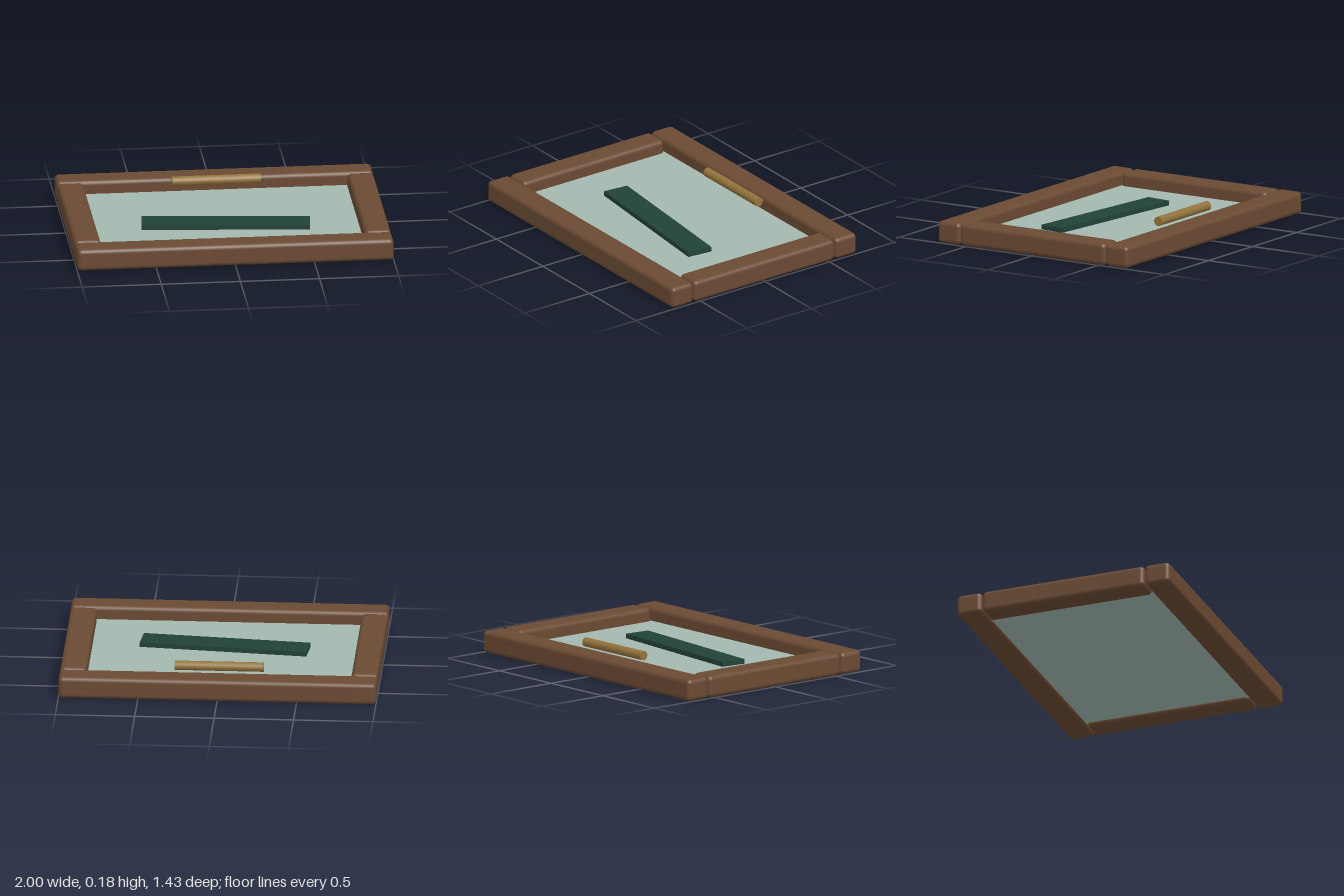
import * as THREE from 'three';
import { RoundedBoxGeometry } from 'three/addons/geometries/RoundedBoxGeometry.js';

const material = (name, color) => {
  const m = new THREE.MeshStandardMaterial({ color });
  m.name = name;
  return m;
};

export function createModel() {
  const group = new THREE.Group();
  group.name = 'framedTray';
  const wood = material('brown wood', 0x6b4a33);
  const sheet = material('pale green panel', 0xa3b8b0);
  const green = material('dark green', 0x224236);
  const brass = material('brass', 0x94743c);

  const add = (name, geometry, mat, x, y, z) => {
    const mesh = new THREE.Mesh(geometry, mat);
    mesh.name = name;
    mesh.position.set(x, y, z);
    group.add(mesh);
    return mesh;
  };

  // Frame: two long rails with two shorter ones fitted between them
  const height = 0.14, rail = 0.166, bevel = 0.028;
  const longRail = new RoundedBoxGeometry(2, height, rail, 3, bevel);
  const sideRail = new RoundedBoxGeometry(rail, height, 1.09, 3, bevel);
  for (const s of [1, -1]) {
    add(s > 0 ? 'frontRail' : 'backRail', longRail, wood, 0, height / 2, s * 0.633);
    add(s > 0 ? 'leftRail' : 'rightRail', sideRail, wood, s * 0.917, height / 2, 0);
  }

  // Panel inside the frame
  add('panel', new THREE.BoxGeometry(1.72, 0.03, 1.14), sheet, 0, 0.04, 0);

  // Slightly turned strip lying on the panel
  const strip = add('strip', new THREE.BoxGeometry(1.06, 0.03, 0.168), green, 0, 0.07, 0.11);
  strip.rotation.y = -0.1;

  // Round bar near the back rail
  const bar = add('roundBar', new THREE.CylinderGeometry(0.03, 0.03, 0.56, 12), brass, 0, 0.149, -0.473);
  bar.rotation.z = Math.PI / 2;

  return group;
}
